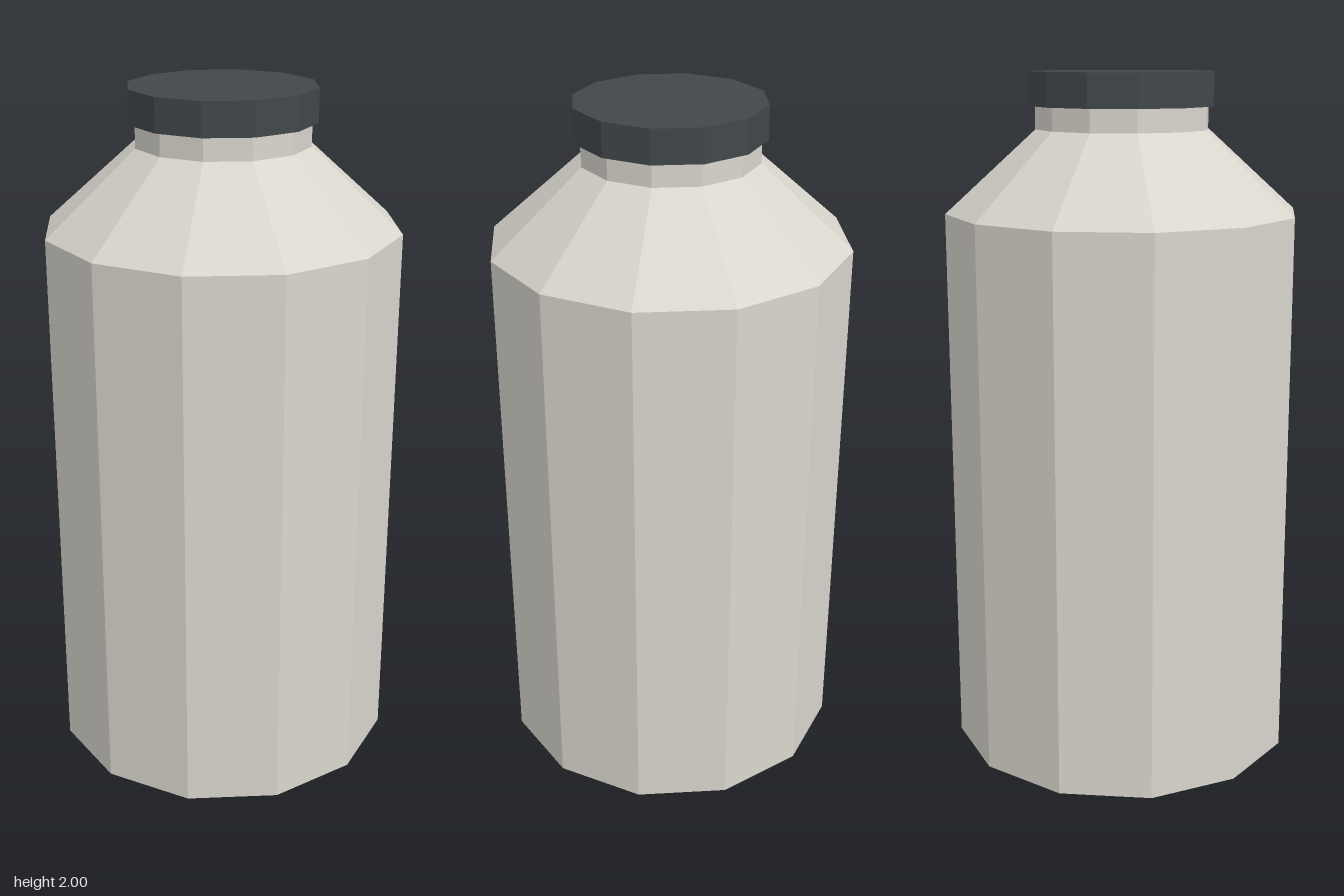
import * as THREE from 'three';

const SIDES = 12;

// Faceted solid of revolution; the profile lists [apothem, y] from bottom to top,
// turned so that one flat side faces the front.
function facetedLathe(name, profile, material) {
  const toCorner = 1 / Math.cos(Math.PI / SIDES);
  const points = profile.map(([r, y]) => new THREE.Vector2(r * toCorner, y));
  const lathe = new THREE.LatheGeometry(points, SIDES, Math.PI / SIDES);
  const geometry = lathe.toNonIndexed();
  geometry.computeVertexNormals();
  const mesh = new THREE.Mesh(geometry, material);
  mesh.name = name;
  return mesh;
}

export function createModel() {
  const shell = new THREE.MeshStandardMaterial({ color: 0xd9d6cd, flatShading: true });
  shell.name = 'warm grey shell';
  const dark = new THREE.MeshStandardMaterial({ color: 0x41474b, flatShading: true });
  dark.name = 'dark slate cap';

  const model = new THREE.Group();
  model.name = 'bottle';

  // Base, straight wall and sloping shoulder
  model.add(facetedLathe('body', [[0, 0], [0.494, 0], [0.494, 1.606], [0.242, 1.84]], shell));
  // Short neck
  model.add(facetedLathe('neck', [[0.242, 1.84], [0.242, 1.91]], shell));
  // Screw cap, slightly wider than the neck
  model.add(facetedLathe('cap', [[0, 1.905], [0.259, 1.905], [0.259, 2], [0, 2]], dark));

  return model;
}
